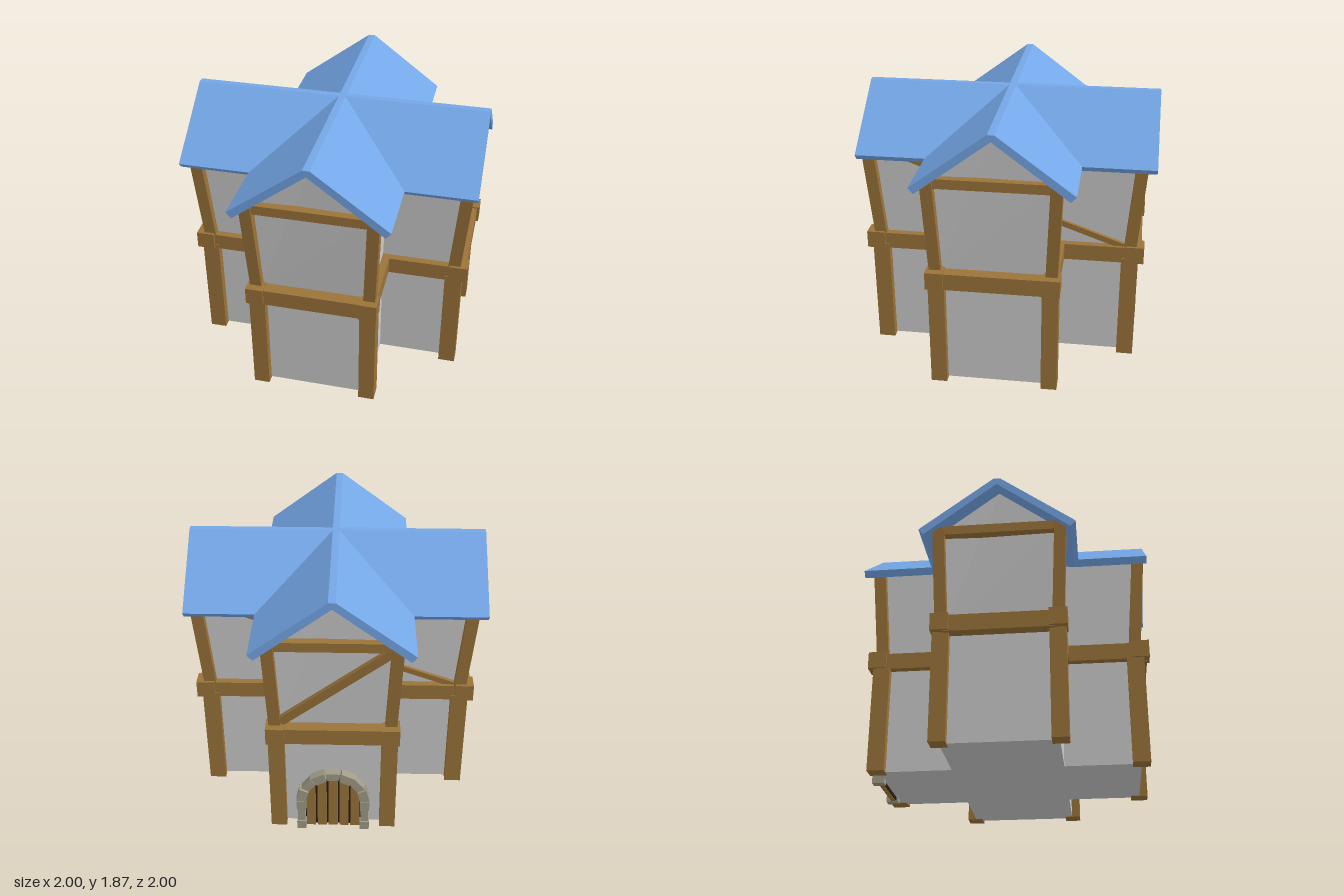
import * as THREE from 'three';

const mat = (color) => new THREE.MeshStandardMaterial({ color, flatShading: true });
const wall = mat(0xcccccc), wood = mat(0x9a7339), slate = mat(0x74a6e6);
const stone = mat(0xa09c88), dark = mat(0x241c12);

const HALF = 0.37;   // half width of an arm
const END = 0.87;    // distance of an arm's end wall from the centre

function add(parent, name, geometry, material, x = 0, y = 0, z = 0) {
  const mesh = new THREE.Mesh(geometry, material);
  mesh.name = name;
  mesh.position.set(x, y, z);
  parent.add(mesh);
  return mesh;
}

const box = (parent, name, material, w, h, d, x, y, z) =>
  add(parent, name, new THREE.BoxGeometry(w, h, d), material, x, y, z);

// Straight timber from a to b
function strut(parent, name, a, b, w, d) {
  const p = new THREE.Vector3(...a), q = new THREE.Vector3(...b);
  const dir = q.clone().sub(p);
  const mid = p.clone().add(q).multiplyScalar(0.5);
  const mesh = box(parent, name, wood, w, dir.length(), d, mid.x, mid.y, mid.z);
  mesh.quaternion.setFromUnitVectors(new THREE.Vector3(0, 1, 0), dir.normalize());
  return mesh;
}

const shapeOf = (points) => new THREE.Shape(points.map(([x, y]) => new THREE.Vector2(x, y)));

// Extrude a profile along z, then place every vertex's z by a rule
function extrudeBy(points, rule) {
  const geometry = new THREE.ExtrudeGeometry(shapeOf(points), { depth: 1, bevelEnabled: false });
  const pos = geometry.attributes.position;
  for (let i = 0; i < pos.count; i++) {
    pos.setZ(i, rule(pos.getX(i), pos.getY(i), pos.getZ(i) > 0.5));
  }
  geometry.computeVertexNormals();
  return geometry;
}

// Ground storey: one plus-shaped block
function lowerWalls(parent) {
  const h = HALF, e = END;
  const plus = shapeOf([[-h, -e], [h, -e], [h, -h], [e, -h], [e, h], [h, h],
    [h, e], [-h, e], [-h, h], [-e, h], [-e, -h], [-h, -h]]);
  const geometry = new THREE.ExtrudeGeometry(plus, { depth: 0.79, bevelEnabled: false });
  geometry.rotateX(-Math.PI / 2);
  add(parent, 'lowerWalls', geometry, wall, 0, 0.035, 0);
}

// One arm of the house, pointing along +z
function arm(parent, name, angle) {
  const g = new THREE.Group();
  g.name = name;
  g.rotation.y = angle;
  parent.add(g);

  // Upper storey with gable, leaning outwards
  add(g, 'upperWall', extrudeBy(
    [[-HALF, 0.82], [HALF, 0.82], [0.39, 1.53], [0, 1.825], [-0.39, 1.53]],
    (x, y, outer) => (outer ? 0.86 + (Math.min(y, 1.53) - 0.82) * 0.06 : 0)), wall);

  for (const s of [-1, 1]) {
    box(g, 'lowerPost', wood, 0.108, 0.77, 0.115, s * 0.375, 0.415, 0.87);
    strut(g, 'upperPost', [s * 0.38, 0.87, 0.87], [s * 0.408, 1.54, 0.925], 0.078, 0.082);
    box(g, 'cornerBlock', wood, 0.118, 0.12, 0.125, s * 0.38, 0.83, 0.902);
    box(g, 'sideBelt', wood, 0.09, 0.115, 0.55, s * 0.377, 0.822, 0.6);
  }
  box(g, 'endBelt', wood, 0.74, 0.115, 0.1, 0, 0.822, 0.898);
  box(g, 'gableBeam', wood, 0.75, 0.065, 0.07, 0, 1.517, 0.915);
  return g;
}

// Chevron roof over one arm, mitred at the valleys
function roofArm(parent, angle, length) {
  const profile = [[-0.521, 1.5], [-0.487, 1.46], [0, 1.828], [0.487, 1.46], [0.521, 1.5],
    [0.023, 1.872], [0, 1.872], [-0.023, 1.872]];
  const roof = add(parent, 'roof',
    extrudeBy(profile, (x, y, outer) => (outer ? length : Math.abs(x))), slate);
  roof.rotation.y = angle;
}

// Arched plank door with a stone surround
function door(parent) {
  const g = new THREE.Group();
  g.name = 'door';
  parent.add(g);
  const spring = 0.25, inner = 0.19, outer = 0.25;

  const arch = new THREE.Shape();
  arch.moveTo(-inner, 0.01);
  arch.lineTo(inner, 0.01);
  arch.lineTo(inner, spring);
  arch.absarc(0, spring, inner, 0, Math.PI, false);
  add(g, 'doorBacking', new THREE.ExtrudeGeometry(arch,
    { depth: 0.02, bevelEnabled: false, curveSegments: 8 }), dark, 0, 0, 0.86);

  // Planks cut to the arch
  const n = 5, pitch = 2 * inner / n;
  const top = (x) => spring + Math.sqrt(Math.max(0, inner * inner - x * x));
  for (let i = 0; i < n; i++) {
    const a = -inner + i * pitch + 0.006, b = a + pitch - 0.012, m = (a + b) / 2;
    const plank = shapeOf([[a, 0.005], [b, 0.005], [b, top(b)], [m, top(m)], [a, top(a)]]);
    add(g, 'plank', new THREE.ExtrudeGeometry(plank, { depth: 0.03, bevelEnabled: false }),
      wood, 0, 0, 0.865);
  }

  // Jamb stones, alternating in size
  for (const s of [-1, 1]) {
    [0.07, 0.1, 0.08].reduce((y, h, i) => {
      const w = i % 2 ? 0.05 : 0.064;
      box(g, 'jambStone', stone, w, h - 0.004, i % 2 ? 0.07 : 0.082, s * 0.218, y + h / 2, 0.89);
      return y + h;
    }, 0);
  }

  // Arch stones
  const count = 7, step = Math.PI / count;
  for (let i = 0; i < count; i++) {
    const a = i * step + 0.015, b = (i + 1) * step - 0.015;
    const r = outer + (i % 2 ? -0.008 : 0.002);
    const at = (rad, t) => [rad * Math.cos(t), spring + rad * Math.sin(t)];
    const wedge = shapeOf([at(inner - 0.005, a), at(r, a), at(r, b), at(inner - 0.005, b)]);
    add(g, 'archStone', new THREE.ExtrudeGeometry(wedge,
      { depth: i % 2 ? 0.07 : 0.08, bevelEnabled: false }), stone, 0, 0, 0.852);
  }
}

export function createModel() {
  const model = new THREE.Group();
  model.name = 'timberHouse';

  const body = new THREE.Group();
  body.name = 'body';
  body.position.set(0.008, 0, 0.016);
  model.add(body);
  lowerWalls(body);
  const [front, left, back, right] = ['frontArm', 'leftArm', 'backArm', 'rightArm']
    .map((name, i) => arm(body, name, i * Math.PI / 2));

  // Diagonal braces
  strut(back, 'gableBrace', [-0.35, 0.9, 0.875], [0.37, 1.47, 0.912], 0.06, 0.05);
  for (const a of [back, right]) {
    strut(a, 'lowBrace', [-0.378, 1.04, 0.36], [-0.382, 0.87, 0.84], 0.04, 0.04);
  }
  for (const a of [front, left]) {
    strut(a, 'highBrace', [0.388, 1.34, 0.37], [0.392, 1.52, 0.84], 0.04, 0.04);
  }
  door(back);

  // Crossed roofs
  const roofs = new THREE.Group();
  roofs.name = 'roofs';
  roofs.position.set(0.008, 0, 0.006);
  model.add(roofs);
  [0.994, 0.992, 1.006, 1.008].forEach((len, i) => roofArm(roofs, i * Math.PI / 2, len));
  return model;
}
